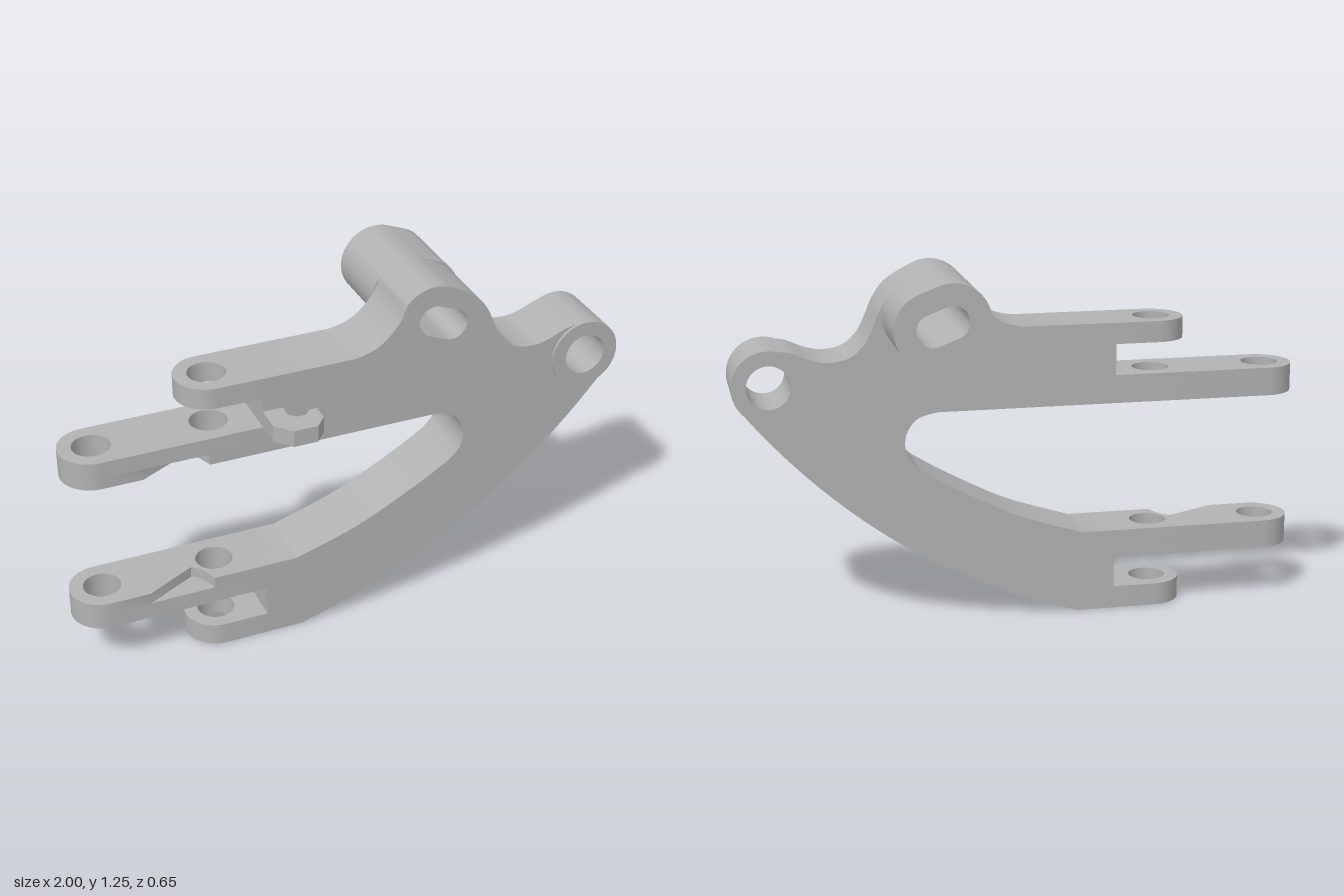
import * as THREE from 'three';
import { toCreasedNormals } from 'three/addons/utils/BufferGeometryUtils.js';

const ZB = -0.052, ZF = 0.173, ZM = (ZB + ZF) / 2, R = (ZF - ZB) / 2;
const v = (pts) => pts.map(([x, y]) => new THREE.Vector2(x, y));

export function createModel() {
  const group = new THREE.Group();
  const grey = new THREE.MeshStandardMaterial({ color: 0xb2b2b2 });
  grey.name = 'plain grey';

  const extrude = (shape, depth) => toCreasedNormals(
    new THREE.ExtrudeGeometry(shape, { depth, bevelEnabled: false, curveSegments: 20 }), 0.5);
  const add = (name, geo) => {
    const mesh = new THREE.Mesh(geo, grey);
    mesh.name = name;
    group.add(mesh);
  };
  // extrude an x/y outline between two z values
  const alongZ = (name, shape, z0, z1) => add(name, extrude(shape, z1 - z0).translate(0, 0, z0));
  // extrude an x/z outline between two heights
  const alongY = (name, shape, y0, y1) =>
    add(name, extrude(shape, y1 - y0).rotateX(Math.PI / 2).translate(0, y1, 0));

  const circle = (path, x, y, r) => path.absarc(x, y, r, 0, Math.PI * 2, false);
  // slanted slot outline shared by the boss and its opening
  const slot = (path, r) => {
    const t = Math.atan2(-0.025, 0.065), q = Math.PI / 2;
    path.absarc(0.355, 1.095, r, t - q, t + q, false);
    path.absarc(0.29, 1.12, r, t + q, t + 3 * q, false);
    path.closePath();
    return path;
  };

  // main curved bracket plate
  const hubX = 0.872, hubY = 0.87;
  const body = new THREE.Shape();
  body.moveTo(-0.33, 0);
  body.lineTo(-0.2, 0);
  body.quadraticCurveTo(0.49, 0.193, 0.965, 0.785);
  body.absarc(hubX, hubY, 0.124, -0.72, Math.PI / 2, false);
  body.splineThru(v([[0.8, 0.985], [0.73, 0.957], [0.67, 0.945], [0.6, 0.957], [0.55, 0.997],
    [0.52, 1.05], [0.49, 1.12], [0.45, 1.175], [0.4, 1.21], [0.34, 1.24]]));
  body.absarc(0.29, 1.12, 0.13, 1.2, 2.5, false);
  body.splineThru(v([[0.16, 1.14], [0.11, 1.085], [0.06, 1.055], [0, 1.04]]));
  body.lineTo(-0.33, 1.04);
  body.lineTo(-0.33, 0.755);
  body.lineTo(0.3, 0.755);
  body.splineThru(v([[0.365, 0.737], [0.402, 0.695], [0.413, 0.645], [0.4, 0.595], [0.365, 0.555]]));
  body.splineThru(v([[0.28, 0.502], [0.15, 0.431], [0, 0.36], [-0.215, 0.29]]));
  body.lineTo(-0.33, 0.29);
  body.closePath();
  body.holes.push(slot(new THREE.Path(), 0.056), circle(new THREE.Path(), hubX, hubY, 0.1));
  alongZ('bracketPlate', body, ZB, ZF);

  // pivot hub ring
  const hub = circle(new THREE.Shape(), hubX, hubY, 0.126);
  hub.holes.push(circle(new THREE.Path(), hubX, hubY, 0.075));
  alongZ('pivotHub', hub, -0.062, 0.183);

  // slotted boss reaching backward
  const boss = slot(new THREE.Shape(), 0.13);
  boss.holes.push(slot(new THREE.Path(), 0.056));
  alongZ('slottedBoss', boss, -0.325, ZB);

  // round-ended prong in plan, with pin holes and an optional notch in the front edge
  const prong = (cx, holes, notched) => {
    const s = new THREE.Shape();
    s.moveTo(-0.33, ZB);
    s.lineTo(-0.33, ZF);
    if (notched) {
      s.lineTo(-0.52, ZF);
      s.quadraticCurveTo(-0.54, 0.1, -0.575, 0.082);
      s.lineTo(-0.75, ZF);
    }
    s.absarc(cx, ZM, R, Math.PI / 2, Math.PI * 1.5, false);
    s.closePath();
    holes.forEach((x) => s.holes.push(circle(new THREE.Path(), x, ZM, 0.065)));
    return s;
  };
  const near = -0.4825, far = -0.8875;
  alongY('upperShortProng', prong(near, [near], false), 0.965, 1.04);
  alongY('lowerShortProng', prong(near, [near], false), 0, 0.08);
  alongY('upperLongProng', prong(far, [far, near], false), 0.795, 0.855);
  alongY('upperLongProngNotch', prong(far, [far, near], true), 0.755, 0.795);
  alongY('lowerLongProng', prong(far, [far, near], false), 0.19, 0.25);
  alongY('lowerLongProngNotch', prong(far, [far, near], true), 0.25, 0.29);

  // small hook on the front face
  alongY('hook', new THREE.Shape(v([[-0.33, 0.16], [-0.26, 0.16], [-0.26, 0.22], [-0.235, 0.245],
    [-0.205, 0.245], [-0.185, 0.22], [-0.157, 0.22], [-0.157, 0.28], [-0.195, 0.325],
    [-0.28, 0.325], [-0.33, 0.27]])), 0.855, 0.915);

  return group;
}
